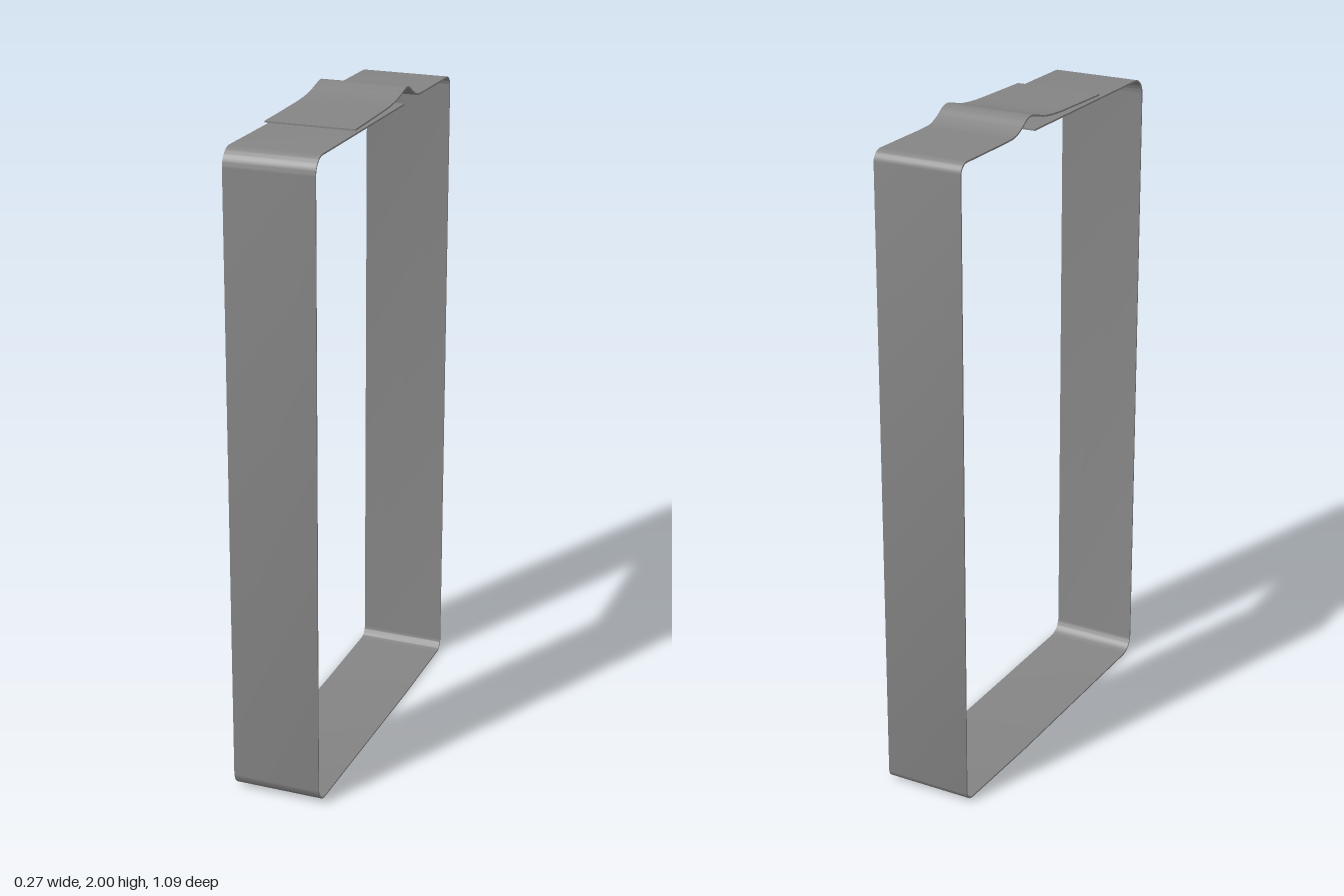
import * as THREE from 'three';
import { toCreasedNormals } from 'three/addons/utils/BufferGeometryUtils.js';

const WIDTH = 0.27;
const THICKNESS = 0.005;

// Thickens an outer side profile (z, y) inwards and extrudes it across the width.
function band(outer) {
  const inner = outer.map((p, i) => {
    const before = outer[Math.max(i - 1, 0)];
    const after = outer[Math.min(i + 1, outer.length - 1)];
    const t = after.clone().sub(before).setLength(THICKNESS);
    return new THREE.Vector2(p.x + t.y, p.y - t.x);
  });
  const shape = new THREE.Shape([...outer, ...inner.reverse()]);
  const geometry = new THREE.ExtrudeGeometry(shape, { depth: WIDTH, bevelEnabled: false });
  geometry.rotateY(-Math.PI / 2).translate(WIDTH / 2, 0, 0);
  return toCreasedNormals(geometry, 0.6);
}

// Straight run up to a corner, then a rounded turn of radius r.
function turn(path, corner, next, r) {
  const start = corner.clone().add(path.currentPoint.clone().sub(corner).setLength(r));
  const end = corner.clone().add(next.clone().sub(corner).setLength(r));
  const c1 = start.clone().lerp(corner, 0.55);
  const c2 = end.clone().lerp(corner, 0.55);
  path.lineTo(start.x, start.y);
  path.bezierCurveTo(c1.x, c1.y, c2.x, c2.y, end.x, end.y);
}

export function createModel() {
  const group = new THREE.Group();
  group.name = 'strapLoop';
  const v = (z, y) => new THREE.Vector2(z, y);

  // Loop profile: inner end, front, bottom, back, then the overlapping flap
  const topFront = v(0.543, 1.957);
  const bottomFront = v(0.543, 0.006);
  const bottomMiddle = v(-0.2, 0);
  const bottomBack = v(-0.542, 0.006);
  const topBack = v(-0.542, 1.957);
  const flapStart = v(-0.3, 1.958);

  const path = new THREE.Path();
  path.moveTo(-0.135, 1.955);
  turn(path, topFront, bottomFront, 0.052);
  turn(path, bottomFront, bottomMiddle, 0.052);
  path.lineTo(bottomMiddle.x, bottomMiddle.y);
  turn(path, bottomBack, topBack, 0.034);
  turn(path, topBack, flapStart, 0.034);
  path.lineTo(flapStart.x, flapStart.y);

  // Hump stepping over the inner end, then the flap lying on top
  path.splineThru([
    v(-0.25, 1.961), v(-0.215, 1.974), v(-0.18, 1.995), v(-0.153, 2), v(-0.12, 1.993),
    v(-0.07, 1.981), v(0, 1.974), v(0.1, 1.971), v(0.255, 1.968),
  ]);

  const strap = new THREE.Mesh(
    band(path.getPoints(12)),
    new THREE.MeshStandardMaterial({ color: 0x848484 }),
  );
  strap.name = 'strap';
  group.add(strap);
  return group;
}
